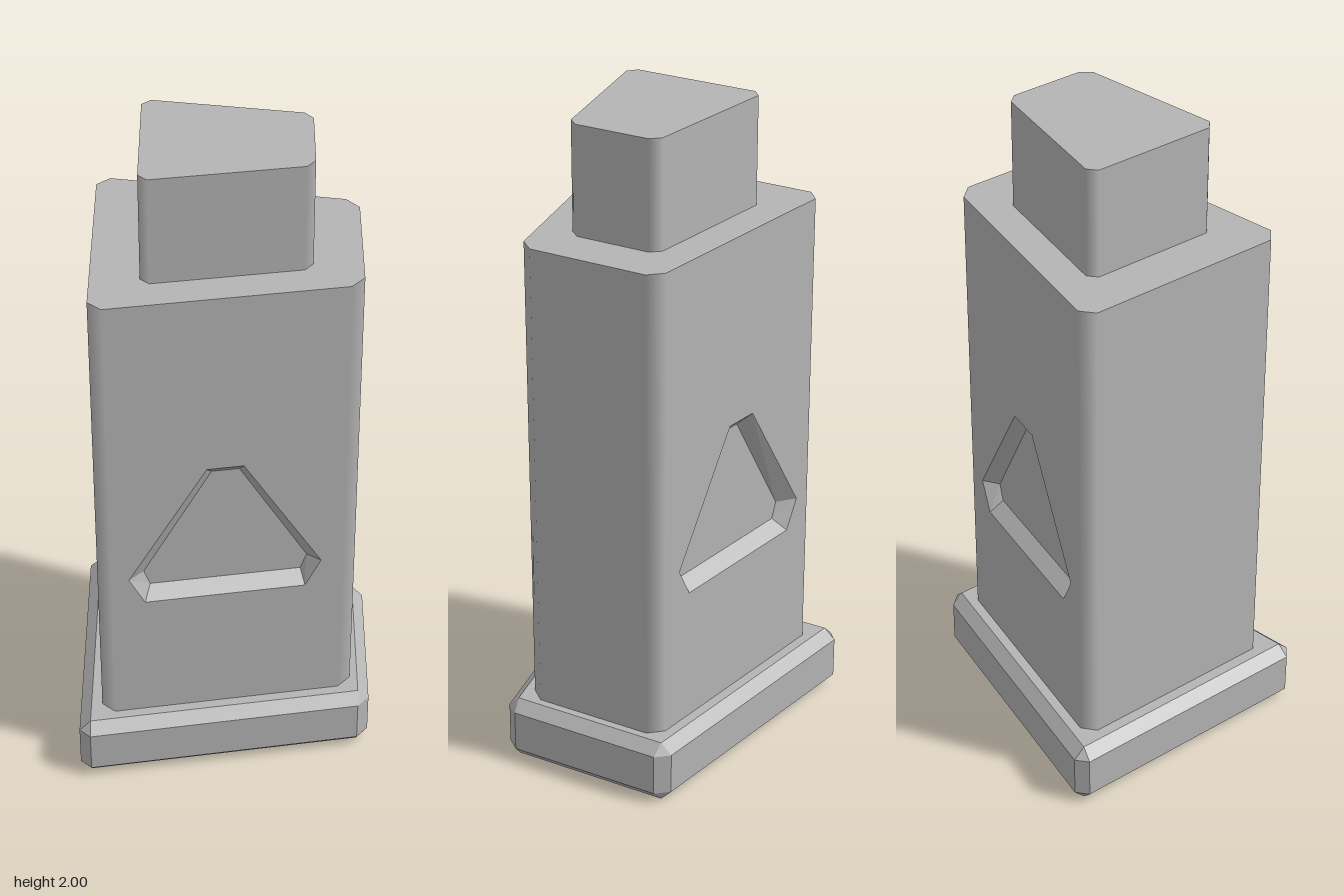
import * as THREE from 'three';
import { mergeGeometries } from 'three/addons/utils/BufferGeometryUtils.js';

// Non-indexed geometry from a flat list of points, with optional normals
function fromPoints(points, normals) {
  const g = new THREE.BufferGeometry();
  g.setAttribute('position', new THREE.Float32BufferAttribute(points.flat(), 3));
  if (normals) g.setAttribute('normal', new THREE.Float32BufferAttribute(normals.flat(), 3));
  else g.computeVertexNormals();
  return g;
}

const quad = (a, b, c, d) => [a, b, c, a, c, d];

// Mirrors the front half [x, z] of an outline to the back
const outline = (front) => [...front, ...front.slice().reverse().map(([x, z]) => [x, -z])];

const ringAt = (ring, y) => ring.map(([x, z]) => [x, y, z]);

function cap(ring, y, up = true) {
  const p = ringAt(ring, y), out = [];
  for (let i = 1; i < p.length - 1; i++) out.push(p[0], ...(up ? [p[i], p[i + 1]] : [p[i + 1], p[i]]));
  return fromPoints(out);
}

// Straight walls: even edges are corner chamfers with softened normals
function walls(ring, y0, y1, skip = []) {
  const n = ring.length, points = [], normals = [];
  const normal = (i) => {
    const a = ring[(i + n) % n], b = ring[(i + 1) % n];
    return new THREE.Vector3(a[1] - b[1], 0, b[0] - a[0]).normalize().toArray();
  };
  for (let i = 0; i < n; i++) {
    if (skip.includes(i)) continue;
    const [ax, az] = ring[i], [bx, bz] = ring[(i + 1) % n];
    points.push(...quad([ax, y0, az], [bx, y0, bz], [bx, y1, bz], [ax, y1, az]));
    const na = i % 2 ? normal(i) : normal(i - 1), nb = i % 2 ? normal(i) : normal((i + 1) % n);
    normals.push(...quad(na, nb, nb, na));
  }
  return fromPoints(points, normals);
}

// Sloping front face with a bevelled triangular recess
function recessedPanel([x0, z0], [x1, z1], y0, y1, depth) {
  const at = ([x, y], d) => [x, y, z0 + ((x - x0) * (z1 - z0)) / (x1 - x0) - d];
  const mirrored = (right) => [...right, ...right.slice().reverse().map(([x, y]) => [-x, y])];
  const outer = mirrored([[0.236, 0.62], [0.282, 0.71], [0.053, 1.09]]);
  const inner = mirrored([[0.222, 0.655], [0.24, 0.705], [0.04, 1.05]]);
  const v2 = (list) => list.map(([x, y]) => new THREE.Vector2(x, y));

  const shape = new THREE.Shape(v2([[x0, y0], [x1, y0], [x1, y1], [x0, y1]]));
  shape.holes.push(new THREE.Path(v2(outer)));
  const flat = (s, d) => {
    const p = new THREE.ShapeGeometry(s).toNonIndexed().getAttribute('position');
    return Array.from({ length: p.count }, (_, i) => at([p.getX(i), p.getY(i)], d));
  };
  const points = [...flat(shape, 0), ...flat(new THREE.Shape(v2(inner)), depth)];
  outer.forEach((a, i) => {
    const j = (i + 1) % outer.length;
    points.push(...quad(at(a, 0), at(outer[j], 0), at(inner[j], depth), at(inner[i], depth)));
  });
  return points;
}

export function createModel() {
  const model = new THREE.Group();
  model.name = 'taperedPillar';
  const grey = new THREE.MeshStandardMaterial({ color: 0xb4b4b4 });
  grey.name = 'grey';
  const add = (name, geometry) => {
    const mesh = new THREE.Mesh(geometry, grey);
    mesh.name = name;
    model.add(mesh);
  };

  // Plinth with bevelled edges that meet in sharp corners
  const rim = outline([[-0.442, 0.388], [-0.408, 0.418], [0.406, 0.28], [0.44, 0.24]]);
  const face = outline([[-0.408, 0.383], [-0.408, 0.383], [0.406, 0.246], [0.406, 0.246]]);
  const rings = [ringAt(face, 0), ringAt(rim, 0.036), ringAt(rim, 0.165), ringAt(face, 0.198)];
  const sides = [];
  for (let k = 0; k < 3; k++) {
    for (let i = 0; i < 8; i++) {
      const j = (i + 1) % 8, lo = rings[k], hi = rings[k + 1];
      // Corner facets taper to a point at the top and bottom
      if (k === 0 && i % 2 === 0) sides.push(lo[i], hi[j], hi[i]);
      else if (k === 2 && i % 2 === 0) sides.push(lo[i], lo[j], hi[i]);
      else sides.push(...quad(lo[i], lo[j], hi[j], hi[i]));
    }
  }
  add('plinth', mergeGeometries([fromPoints(sides), cap(face, 0.198), cap(face, 0, false)]));

  // Main body; edges 1 and 5 are the recessed panels
  const bodyFront = [[-0.375, 0.306], [-0.335, 0.34], [0.345, 0.226], [0.383, 0.183]];
  const body = outline(bodyFront);
  add('body', mergeGeometries([walls(body, 0.19, 1.67, [1, 5]), cap(body, 1.67)]));

  const panel = recessedPanel(bodyFront[1], bodyFront[2], 0.19, 1.67, 0.042);
  add('frontPanel', fromPoints(panel));
  add('backPanel', fromPoints(panel.map(([x, y, z]) => [x, y, -z]).reverse()));

  // Top block
  const block = outline([[-0.235, 0.19], [-0.208, 0.214], [0.218, 0.144], [0.243, 0.114]]);
  add('topBlock', mergeGeometries([walls(block, 1.66, 2), cap(block, 2)]));

  return model;
}
